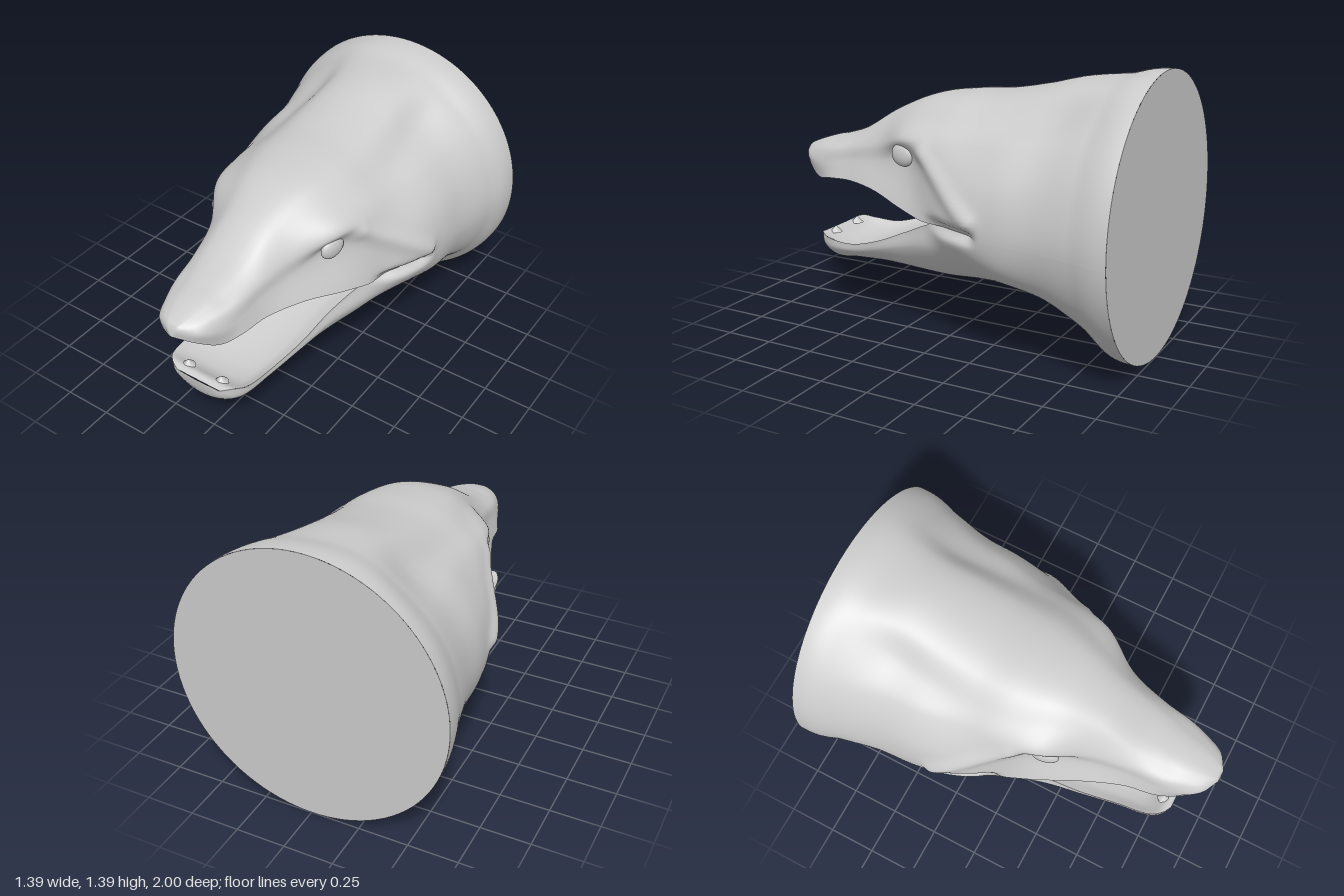
import * as THREE from 'three';

const { smoothstep, lerp, clamp } = THREE.MathUtils;

// Upper head stations: z, top y, then x,y of crest, brow, eye level and lip
const UPPER = [
  [-1.0, 1.39, .35, 1.296, .57, 1.09, .67, .88, .693, .64],
  [-0.8, 1.355, .33, 1.25, .53, 1.07, .63, .87, .655, .64],
  [-0.6, 1.33, .31, 1.175, .47, 1.06, .58, .88, .615, .64],
  [-0.4, 1.28, .325, 1.13, .45, 1.05, .57, .87, .60, .64],
  [-0.2, 1.24, .325, 1.11, .42, 1.03, .535, .86, .57, .65],
  [0.0, 1.22, .31, 1.11, .405, 1.02, .445, .88, .47, .645],
  [0.2, 1.185, .24, 1.11, .365, 1.01, .32, .92, .395, .68],
  [0.4, 1.10, .15, 1.06, .24, .95, .25, .86, .31, .72],
  [0.6, .98, .13, .955, .19, .90, .205, .83, .235, .73],
  [0.75, .925, .11, .905, .17, .87, .19, .80, .205, .72],
  [0.85, .90, .09, .885, .14, .855, .165, .79, .155, .705],
  [0.95, .865, .05, .86, .09, .84, .11, .81, .095, .76],
  [0.995, .84, .02, .84, .03, .83, .03, .815, .02, .785],
];

// Lower head stations: z, then x,y of lip, cheek and jaw edge, bottom y
const LOWER = [
  [-1.0, .693, .64, .60, .35, .35, .095, 0],
  [-0.9, .675, .64, .58, .36, .33, .12, .03],
  [-0.75, .645, .64, .55, .39, .31, .22, .14],
  [-0.6, .615, .64, .53, .43, .31, .315, .27],
  [-0.4, .60, .64, .54, .48, .31, .35, .32],
  [-0.2, .54, .65, .49, .50, .29, .35, .31],
  [0.0, .42, .63, .42, .50, .27, .335, .29],
  [0.2, .335, .54, .34, .46, .24, .33, .29],
  [0.4, .29, .45, .285, .40, .20, .32, .30],
  [0.6, .24, .39, .235, .35, .17, .30, .29],
  [0.75, .22, .395, .21, .34, .13, .275, .26],
  [0.82, .18, .41, .17, .35, .10, .30, .28],
  [0.845, .13, .39, .12, .36, .07, .335, .33],
];

// Smooth interpolation of a station table along z
function sample(table, z) {
  let i = 0;
  while (i < table.length - 2 && z > table[i + 1][0]) i++;
  const a = table[i], b = table[i + 1], h = b[0] - a[0], t = (z - a[0]) / h;
  const slope = (j, k) => {
    const p = table[Math.max(j - 1, 0)], n = table[Math.min(j + 1, table.length - 1)];
    return (n[k] - p[k]) / (n[0] - p[0]);
  };
  return a.map((v, k) => k === 0 ? z :
    (2 * t ** 3 - 3 * t * t + 1) * v + (t ** 3 - 2 * t * t + t) * h * slope(i, k) +
    (3 * t * t - 2 * t ** 3) * b[k] + (t ** 3 - t * t) * h * slope(i + 1, k));
}

// Lip corners; both jaws share one edge behind the mouth
const upperLip = z => sample(UPPER, z).slice(8);
function lowerLip(z) {
  const up = upperLip(z), t = smoothstep(z, -.12, .06);
  return sample(LOWER, z).slice(1, 3).map((v, k) => lerp(up[k], v, t));
}

// Mirrors a half section (lip to centre) and smooths it. The curve runs on past
// the lip towards 'beyond', so that two halves meet smoothly.
function section(half, beyond, z, dir, steps) {
  const side = [beyond, ...half];
  const pts = side.map(([x, y]) => new THREE.Vector3(dir * x, y, z));
  for (let i = side.length - 2; i >= 0; i--) pts.push(new THREE.Vector3(-dir * side[i][0], side[i][1], z));
  const curve = new THREE.CatmullRomCurve3(pts), end = 1 / (pts.length - 1);
  return Array.from({ length: steps + 1 }, (_, i) => curve.getPoint(lerp(end, 1 - end, i / steps)));
}

// Point past the lip: the other half's neighbour behind the mouth, straight on in front
function pastLip(half, other, z) {
  const t = smoothstep(z, -.1, .05), [[x0, y0], [x1, y1]] = half;
  return [lerp(other[0], 2 * x0 - x1, t), lerp(other[1], 2 * y0 - y1, t)];
}

// Rounds the neck into a circle, presses in the crease behind the mouth corner
// and raises the cheek ridge running from the eye down to the end of the crease
function shapeSkin(points, z) {
  const round = 1 - smoothstep(z, -1, -.8);
  const crease = .05 * smoothstep(z, -.34, -.26) * (1 - smoothstep(z, -.1, .06));
  for (const p of points) {
    const k = lerp(1, .695 / Math.hypot(p.x, p.y - .695), round);
    p.x *= k;
    p.y = .695 + (p.y - .695) * k;
    const t = clamp(((z - .06) * -.34 + (p.y - .96) * -.24) / (.34 ** 2 + .24 ** 2), 0, 1);
    const d = Math.hypot(z - .06 + .34 * t, p.y - .96 + .24 * t);
    p.x += Math.sign(p.x) * (.025 * Math.exp(-((d / .045) ** 2)) * smoothstep(Math.abs(p.x), .2, .35)
      - crease * Math.exp(-(((p.y - .65) / .03) ** 2)));
  }
  return points;
}

function upperSection(z) {
  const [, top, cx, cy, bx, by, ex, ey, lx, ly] = sample(UPPER, z);
  const half = [[lx, ly], [ex, ey], [bx, by], [cx, cy], [cx * .6, top - .25 * (top - cy)], [0, top]];
  return shapeSkin(section(half, pastLip(half, sample(LOWER, z).slice(3, 5), z), z, 1, 120), z);
}

function lowerSection(z) {
  const [, , , cx, cy, bx, by, bottom] = sample(LOWER, z);
  const half = [lowerLip(z), [cx, cy], [bx, by], [0, bottom]];
  return shapeSkin(section(half, pastLip(half, sample(UPPER, z).slice(6, 8), z), z, -1, 84), z);
}

// Section of the mouth lining, hollowed by depth d and fading out at both ends
function lining(lip, z, end, d, dir) {
  const [lx, ly] = lip(z);
  const h = d * smoothstep(z, -.12, .1) * (1 - smoothstep(z, end - .15, end));
  const half = [[lx, ly], [lx * .75, ly + h * .65], [0, ly + h]];
  return shapeSkin(section(half, [lx * 1.25, ly - h * .65], z, dir, 24), z);
}
const palateSection = z => lining(upperLip, z, .92, .05, -1);
const floorSection = z => lining(lowerLip, z, .845, -.045, 1);

// Skins a run of cross-sections, optionally closing the front to a tip
function loft(fn, z0, z1, rows, tip) {
  const rings = [];
  for (let i = 0; i <= rows; i++) rings.push(fn(lerp(z0, z1, i / rows)));
  if (tip) rings.push(rings[0].map(() => tip));
  const n = rings[0].length, pos = [], idx = [];
  rings.forEach(r => r.forEach(p => pos.push(p.x, p.y, p.z)));
  for (let i = 0; i < rings.length - 1; i++) {
    for (let j = 0; j < n - 1; j++) {
      const a = i * n + j, c = a + n;
      idx.push(a, a + 1, c, a + 1, c + 1, c);
    }
  }
  const g = new THREE.BufferGeometry();
  g.setAttribute('position', new THREE.Float32BufferAttribute(pos, 3));
  g.setIndex(idx);
  g.computeVertexNormals();
  return g;
}

export function createModel() {
  const model = new THREE.Group();
  model.name = 'reptileHead';
  const grey = new THREE.MeshStandardMaterial({ color: 0xcccccc });
  const add = (name, geometry, x = 0, y = 0, z = 0) => {
    const mesh = new THREE.Mesh(geometry, grey);
    mesh.name = name;
    mesh.position.set(x, y, z);
    model.add(mesh);
    return mesh;
  };

  // Skull with snout, and throat with lower jaw
  add('upperHead', loft(upperSection, -1, .995, 120, new THREE.Vector3(0, .785, 1)));
  add('lowerJaw', loft(lowerSection, -1, .845, 110, new THREE.Vector3(0, .39, .85)));

  // Mouth lining
  add('palate', loft(palateSection, -.12, .995, 60));
  add('mouthFloor', loft(floorSection, -.12, .845, 55));

  // Flat neck cut
  add('neckCap', new THREE.CircleGeometry(.695, 96), 0, .695, -1).rotation.y = Math.PI;

  // Eyes and small lower front teeth
  for (const s of [1, -1]) {
    const side = s > 0 ? 'left' : 'right';
    const eye = add(side + 'Eye', new THREE.SphereGeometry(1, 24, 16), s * .332, .93, .21);
    eye.scale.set(.03, .058, .07);
    eye.rotation.y = -s * .2;
    add(side + 'Tooth', new THREE.ConeGeometry(.035, .035, 10), s * .1, .41, .79);
  }
  return model;
}
